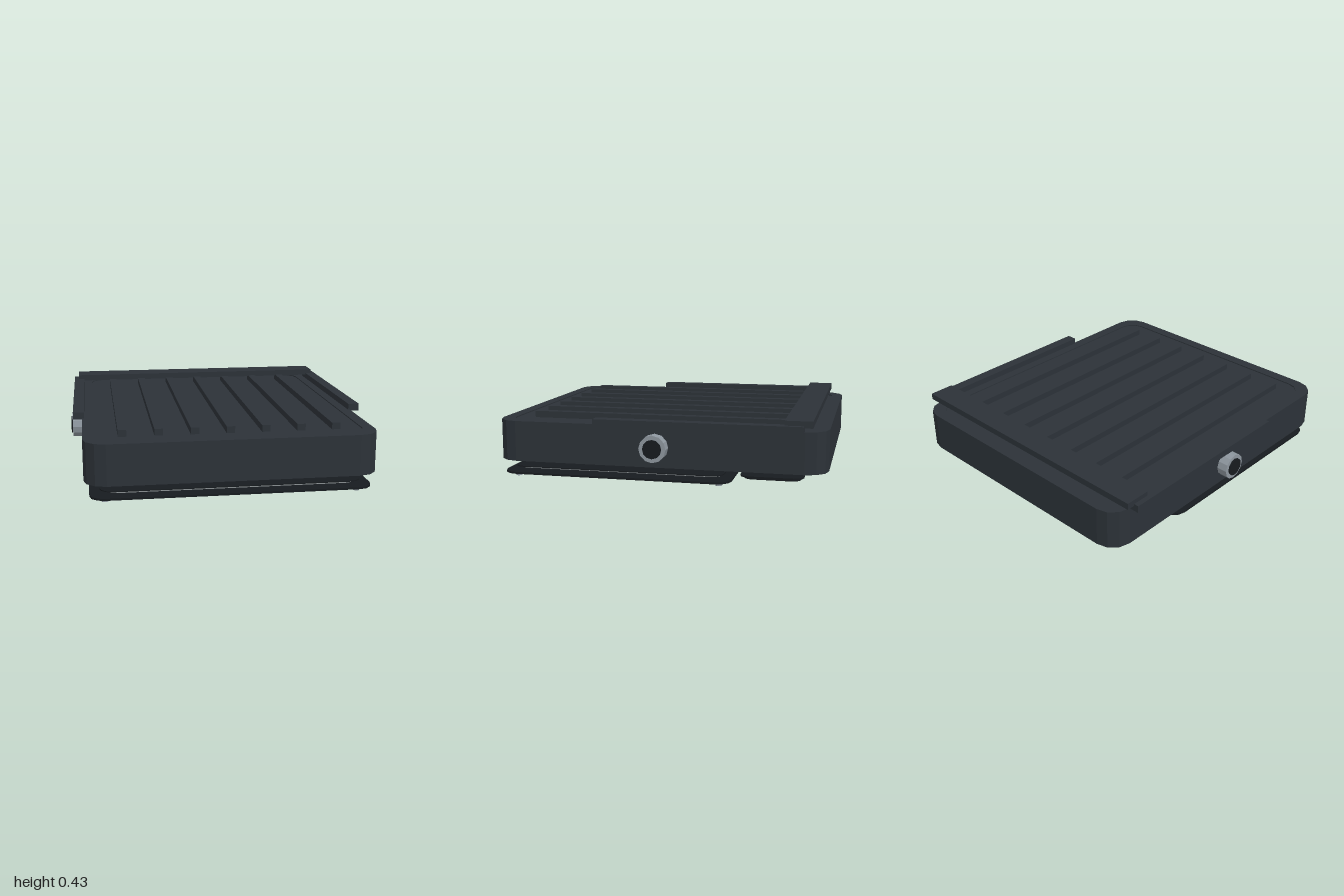
import * as THREE from 'three';

const mat = (color) => new THREE.MeshStandardMaterial({ color, flatShading: true });
const dark = mat(0x2c3238), black = mat(0x171b1f), steel = mat(0x8d969e), grey = mat(0x8a9092);

// Rectangle with faceted rounded corners, drawn in x / -z; trace is a Shape or Path
function plan(trace, x, z0, z1, r) {
  const corners = [[x - r, -z0 - r, 0], [-x + r, -z0 - r, 1], [-x + r, -z1 + r, 2], [x - r, -z1 + r, 3]];
  const pts = [];
  for (const [cx, cy, q] of corners) {
    for (let i = 0; i <= 3; i++) {
      const a = (q + i / 3) * Math.PI / 2;
      pts.push(new THREE.Vector2(cx + r * Math.cos(a), cy + r * Math.sin(a)));
    }
  }
  return trace.setFromPoints(pts);
}

export function createModel() {
  const group = new THREE.Group();

  const add = (name, geometry, material, x = 0, y = 0, z = 0) => {
    const mesh = new THREE.Mesh(geometry, material);
    mesh.name = name;
    mesh.position.set(x, y, z);
    group.add(mesh);
    return mesh;
  };
  const box = (name, x0, x1, y0, y1, z0, z1, material = dark) =>
    add(name, new THREE.BoxGeometry(x1 - x0, y1 - y0, z1 - z0), material,
      (x0 + x1) / 2, (y0 + y1) / 2, (z0 + z1) / 2);
  // Horizontal slab with optional openings, each given as [x, z0, z1, r]
  const slab = (name, [x, z0, z1, r], y0, y1, material, holes = []) => {
    const shape = plan(new THREE.Shape(), x, z0, z1, r);
    for (const h of holes) shape.holes.push(plan(new THREE.Path(), ...h));
    const geometry = new THREE.ExtrudeGeometry(shape, { depth: y1 - y0, bevelEnabled: false });
    geometry.rotateX(-Math.PI / 2);
    return add(name, geometry, material, 0, y0, 0);
  };

  // Case: rim with two openings below, solid middle, shallow dish on top
  const outline = [0.86, -1, 1, 0.13];
  slab('caseLowerRim', outline, 0.115, 0.2, dark, [[0.73, -0.35, 0.89, 0.06], [0.72, -0.84, -0.48, 0.06]]);
  slab('caseMiddle', outline, 0.2, 0.353, dark);
  slab('caseUpperRim', outline, 0.353, 0.36, dark, [[0.79, -0.93, 0.93, 0.1]]);

  // Ribs on the top face
  for (let i = -3; i <= 3; i++) box('rib', i * 0.211 - 0.025, i * 0.211 + 0.025, 0.35, 0.393, -0.8, 0.82);

  // Back cross bar
  box('backBar', -0.887, 0.887, 0.387, 0.427, -0.915, -0.755);

  // Side rails and knobs
  for (const s of [-1, 1]) {
    const rail = box('sideRail', 0.848, 0.917, 0.354, 0.399, -0.865, 0.36);
    rail.position.x *= s;
    const knob = new THREE.CylinderGeometry(0.081, 0.081, 0.085, 12).rotateZ(Math.PI / 2);
    add('knob', knob, steel, s * 0.883, 0.237, 0);
    const cap = new THREE.CylinderGeometry(0.056, 0.056, 0.05, 12).rotateZ(Math.PI / 2);
    add('knobCap', cap, black, s * 0.91, 0.237, 0);
  }

  // Gasket around the main opening
  slab('gasket', [0.735, -0.35, 0.895, 0.06], 0.1, 0.118, steel, [[0.715, -0.33, 0.875, 0.05]]);

  // Stacked main cover, hanging below the case
  slab('coverSeal', [0.77, -0.385, 0.93, 0.07], 0.058, 0.064, black);
  slab('coverLiner', [0.735, -0.365, 0.91, 0.06], 0.046, 0.051, grey);
  slab('coverPlate', [0.83, -0.435, 0.98, 0.09], 0.026, 0.038, black);
  slab('coverPanel', [0.755, -0.37, 0.91, 0.05], 0.023, 0.03, grey);

  // Screws at the corners of the main cover
  for (const x of [-0.742, 0.742]) {
    for (const z of [-0.358, 0.905]) {
      add('screw', new THREE.CylinderGeometry(0.02, 0.02, 0.013, 10), steel, x, 0.0065, z);
    }
  }

  // Small rear cover and the contact in its bay
  slab('rearCoverSeal', [0.74, -0.855, -0.478, 0.06], 0.055, 0.063, black);
  slab('rearCover', [0.7, -0.835, -0.5, 0.05], 0.036, 0.046, black);
  box('bayContact', 0.55, 0.7, 0.17, 0.201, -0.83, -0.72);

  return group;
}
